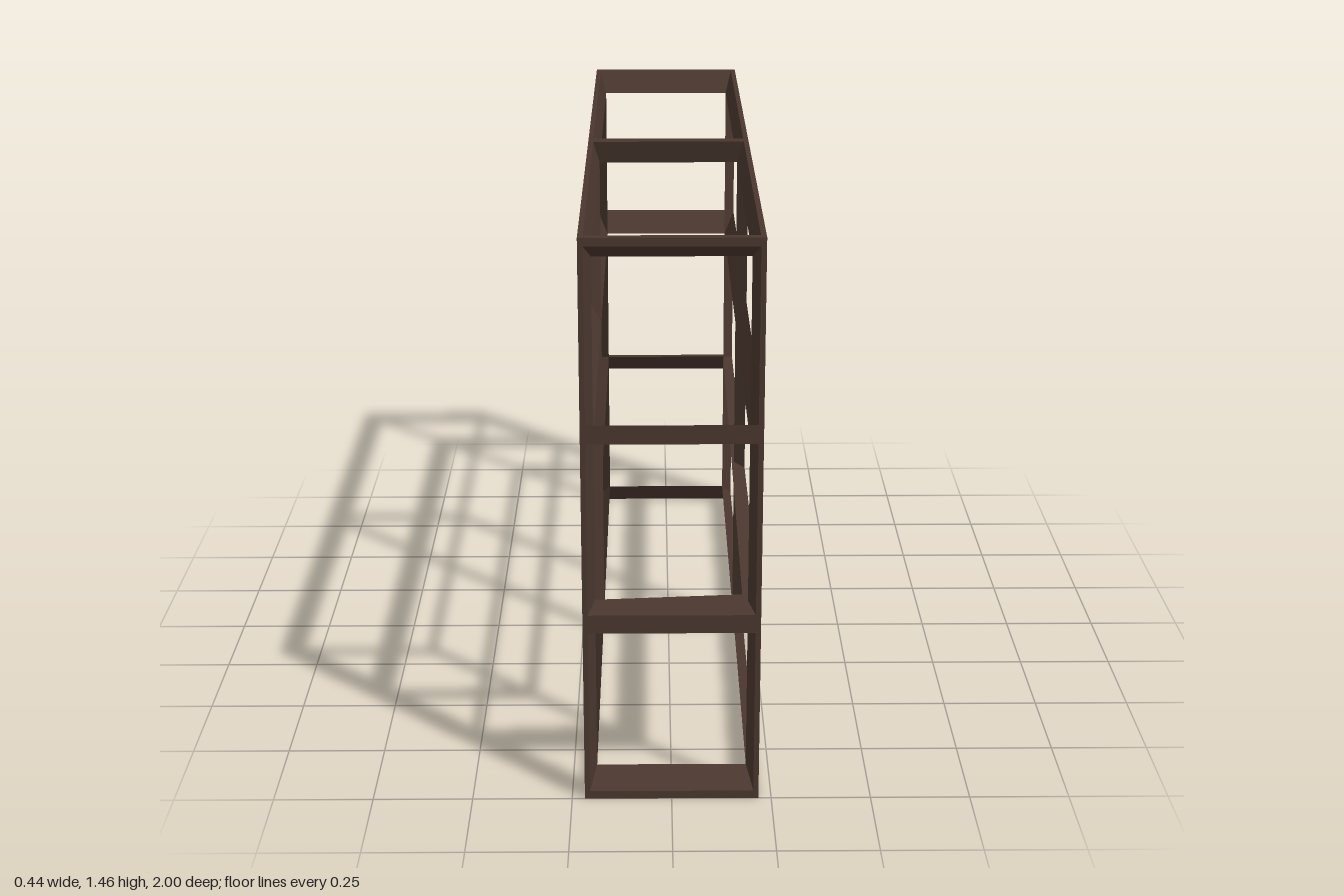
import * as THREE from 'three';

const X = 0.218, Y = 0.729, Z = 1;          // half extents of the frame
const IX = 0.013, IY = 0.021, IZ = 0.021;   // flat strip widths beside each outer edge
const TX = 0.03, TY = 0.062, TZ = 0.062;    // depth of the inner ridge

const wood = new THREE.MeshStandardMaterial({ color: 0x4a372f, flatShading: true });
wood.name = 'darkWood';

// Bar between two matching cross-sections, faces turned outward
function bar(name, a, b) {
  const centre = new THREE.Vector3();
  [...a, ...b].forEach((p) => centre.add(p));
  centre.divideScalar(a.length * 2);
  const pos = [];
  const tri = (p, q, r) => {
    const n = q.clone().sub(p).cross(r.clone().sub(p));
    const order = n.dot(p.clone().sub(centre)) < 0 ? [p, r, q] : [p, q, r];
    order.forEach((v) => pos.push(v.x, v.y, v.z));
  };
  a.forEach((p, i) => {
    const j = (i + 1) % a.length;
    tri(p, a[j], b[j]);
    tri(p, b[j], b[i]);
  });
  const geo = new THREE.BufferGeometry();
  geo.setAttribute('position', new THREE.Float32BufferAttribute(pos, 3));
  geo.computeVertexNormals();
  const mesh = new THREE.Mesh(geo, wood);
  mesh.name = name;
  return mesh;
}

// Mirror a corner cross-section into another corner
const mirror = (profile, sx, sy, sz) =>
  profile.map(([x, y, z]) => new THREE.Vector3(x * sx, y * sy, z * sz));

export function createModel() {
  const model = new THREE.Group();
  model.name = 'shelfFrame';
  const frame = new THREE.Group();
  frame.name = 'frame';
  frame.position.y = Y;
  model.add(frame);
  const signs = [1, -1];

  // Shared corner points, so that the outer bars meet in mitres
  const corner = [X, Y, Z], tip = [X - TX, Y - TY, Z - TZ];
  const onSide = [X, Y - IY, Z - IZ], onEnd = [X - IX, Y - IY, Z], onTop = [X - IX, Y, Z - IZ];
  const post = [corner, onSide, tip, onEnd];
  const longRail = [corner, onSide, tip, onTop];
  const shortRail = [corner, onEnd, tip, onTop];

  // Twelve outer edges
  for (const s of signs) for (const t of signs) {
    frame.add(bar('cornerPost', mirror(post, s, 1, t), mirror(post, s, -1, t)));
    frame.add(bar('longRail', mirror(longRail, s, t, 1), mirror(longRail, s, t, -1)));
    frame.add(bar('shortRail', mirror(shortRail, 1, s, t), mirror(shortRail, -1, s, t)));
  }

  // Two shelf rings, their inner ridges leaning towards the middle
  const shelf = [[X, 0.271, Z], [X, 0.223, Z], [X - TX, 0.209, Z - TZ]];
  const around = [[1, 1], [-1, 1], [-1, -1], [1, -1]];
  for (const sy of signs) {
    const corners = around.map(([sx, sz]) => mirror(shelf, sx, sy, sz));
    if (sy < 0) corners[0][2].set(0.175, -0.209, 0.91);   // one ridge corner sits deeper
    corners.forEach((c, i) =>
      frame.add(bar(i % 2 ? 'shelfLongRail' : 'shelfShortRail', c, corners[(i + 1) % 4])));
  }

  // Upright ring across the middle
  const middle = [[X, Y, 0.02], [X, Y, -0.02], [X - TX, Y - TY, 0]];
  around.forEach(([sx, sy], i) => {
    const [nx, ny] = around[(i + 1) % 4];
    frame.add(bar(i % 2 ? 'middlePost' : 'middleRail', mirror(middle, sx, sy, 1), mirror(middle, nx, ny, 1)));
  });

  return model;
}
